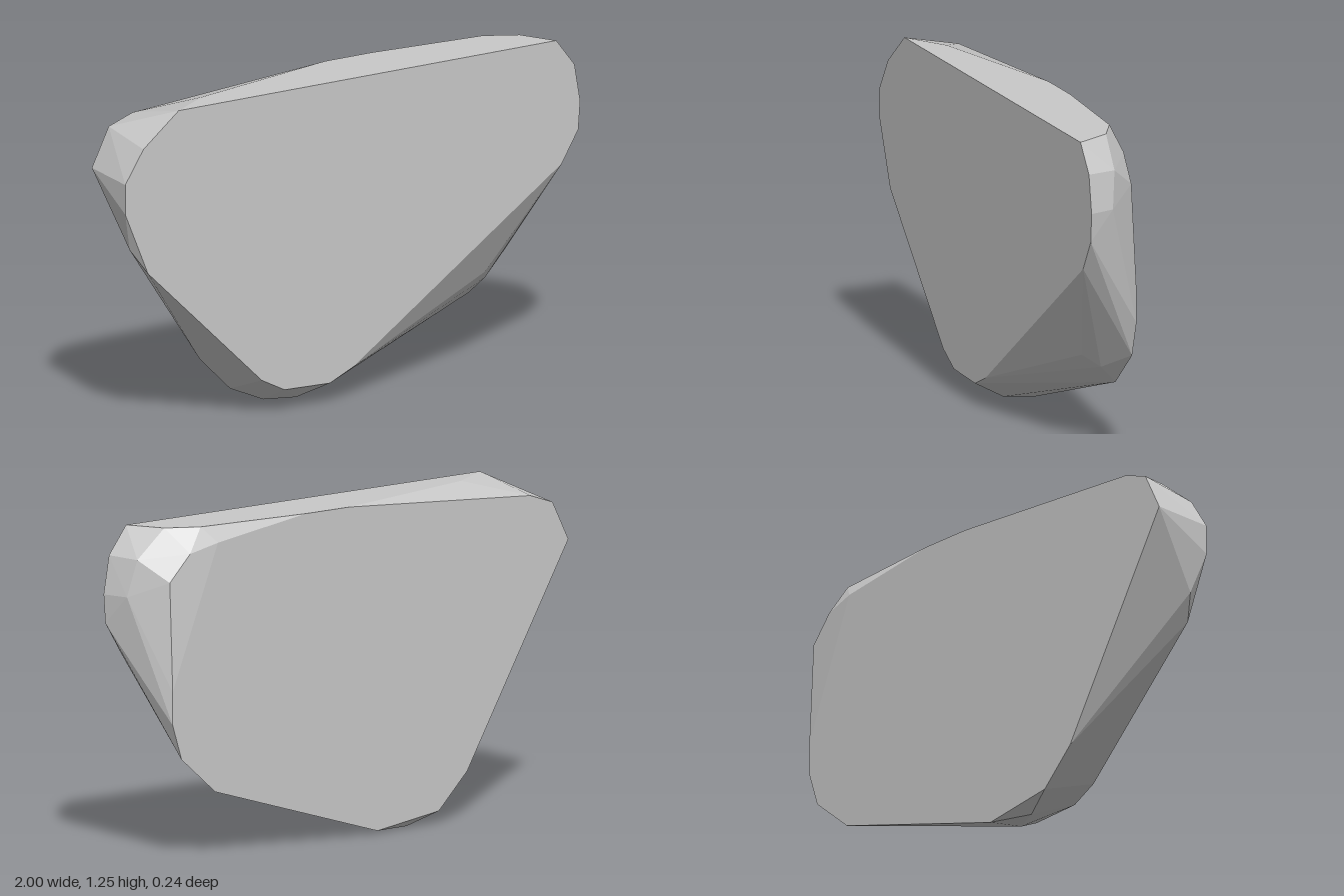
import * as THREE from 'three';
import { ConvexGeometry } from 'three/addons/geometries/ConvexGeometry.js';

export function createModel() {
  const model = new THREE.Group();
  model.name = 'stoneSlab';
  const stone = new THREE.MeshStandardMaterial({ color: 0xc8c8c8 });
  stone.name = 'pale grey stone';

  const half = 0.12;
  const atDepth = (outline, z) => outline.map(([x, y]) => new THREE.Vector3(x, y, z));

  // Flat front face outline
  const front = atDepth([
    [-0.765, 1.25], [0.895, 1.25], [0.975, 1.145], [1, 1], [0.992, 0.89], [0.92, 0.77],
    [0, 0.13], [-0.1, 0.085], [-0.3, 0.092], [-0.4, 0.145], [-0.9, 0.64],
    [-1, 0.885], [-1, 1], [-0.92, 1.125],
  ], half);

  // Flat back face outline
  const back = atDepth([
    [0.035, 1.25], [0.237, 1.25], [0.65, 1.19], [0.862, 0.65], [0.862, 0.525],
    [0.82, 0.39], [0.663, 0.25], [-0.098, 0.01], [-0.387, 0.05], [-0.52, 0.185],
    [-0.994, 1.004], [-0.92, 1.153], [-0.815, 1.19],
  ], -half);

  // Chipped corners between the two faces
  const chips = [
    [-0.6, 1.25, 0.02], [0.7, 1.25, -0.08], [0.82, 1.25, -0.015],
    [0.77, 1.16, -0.107], [0.86, 1.06, -0.1], [0.935, 1.14, 0], [0.968, 1, 0.02],
    [0.65, 0.365, 0.01], [0.69, 0.322, -0.05],
    [-0.16, 0.005, -0.02], [-0.27, 0, -0.075], [-0.955, 0.73, 0.08],
  ].map((p) => new THREE.Vector3(...p));

  const slab = new THREE.Mesh(new ConvexGeometry([...front, ...back, ...chips]), stone);
  slab.name = 'slab';
  model.add(slab);
  return model;
}
